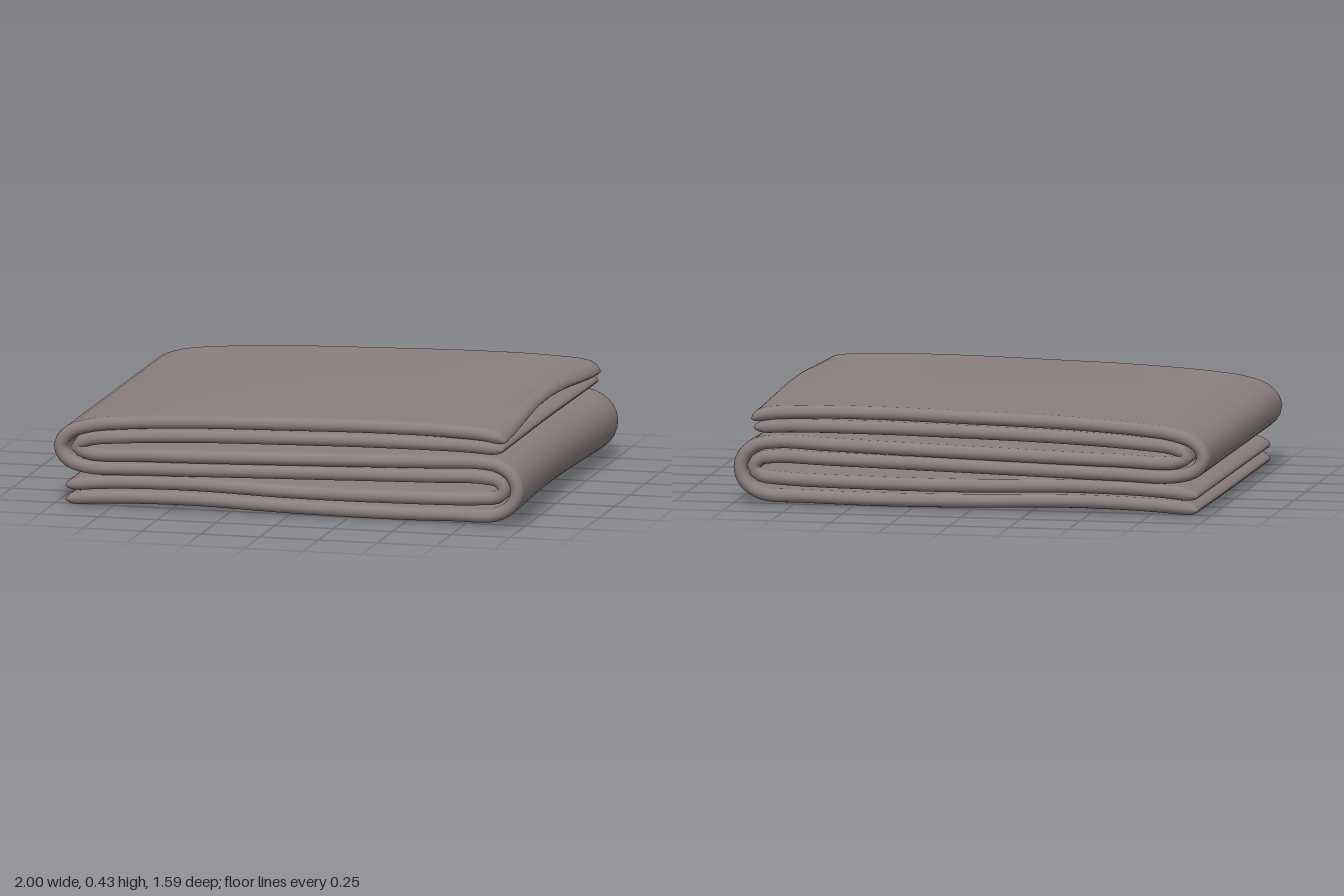
import * as THREE from 'three';

const HALF = 0.028;   // half the cloth thickness
const WIDTH = 0.797;  // half the width along z
const TAPER = 0.07;   // length over which the hems thin out
const smooth = THREE.MathUtils.smoothstep;
const bell = (x, c, w) => Math.exp(-(((x - c) / w) ** 2));

// Closed outline of the sheet's cross-section: [z side, inset factor, height]
function ringTemplate(across = 24, arc = 8) {
  const ring = [];
  for (const side of [1, -1]) {
    for (let k = 0; k <= arc; k++) {
      const a = -Math.PI / 2 + (Math.PI * k) / arc;
      ring.push({ f: side, c: Math.cos(a), n: side * Math.sin(a) });
    }
    for (let k = 1; k < across; k++) ring.push({ f: side * (1 - (2 * k) / across), c: 0, n: side });
  }
  return ring;
}

// Sweeps the section along a folded path; lift(u, x) bulges the middle of the sheet
function foldedSheet(points, lift) {
  const curve = new THREE.CatmullRomCurve3(points.map(([x, y]) => new THREE.Vector3(x, y, 0)));
  curve.arcLengthDivisions = 1500;
  const length = curve.getLength();
  const stops = [];
  for (let i = 0; i < 8; i++) stops.push(TAPER * (1 - Math.cos((Math.PI / 2) * (i / 8))));
  for (let i = 0; i <= 220; i++) stops.push(TAPER + ((length - 2 * TAPER) * i) / 220);
  for (let i = 7; i >= 0; i--) stops.push(length - stops[i]);

  const ring = ringTemplate();
  const pos = [], index = [];
  stops.forEach((s, i) => {
    const u = Math.min(1, Math.max(0, s / length));
    const p = curve.getPointAt(u), t = curve.getTangentAt(u);
    const d = Math.min(1, Math.min(s, length - s) / TAPER);
    const thin = Math.max(0.02, Math.sqrt(Math.max(0, 1 - (1 - d) ** 2)));
    const h = HALF * thin;
    const w = WIDTH - 0.025 * (1 - thin); // rounded corners
    ring.forEach(({ f, c, n }, j) => {
      const z = f * (w - HALF) + Math.sign(f) * c * HALF;
      const mid = (1 - Math.min(1, (z / 0.8) ** 2)) ** 2;
      const x = p.x - t.y * h * n;
      const y = p.y + t.x * h * n;
      pos.push(x - 0.022 * mid * smooth(x, 0.8, 0.95), y + mid * lift(u, p.x), z);
      if (i < stops.length - 1) {
        const k = (j + 1) % ring.length, a = i * ring.length, b = a + ring.length;
        index.push(a + j, b + j, a + k, a + k, b + j, b + k);
      }
    });
  });
  const geo = new THREE.BufferGeometry();
  geo.setAttribute('position', new THREE.Float32BufferAttribute(pos, 3));
  geo.setIndex(index);
  geo.computeVertexNormals();
  return geo;
}

export function createModel() {
  const group = new THREE.Group();
  group.name = 'foldedBlanket';
  const cloth = new THREE.MeshStandardMaterial({ color: 0x8c7e7e });
  cloth.name = 'taupe cloth';

  const add = (name, points, lift) => {
    const mesh = new THREE.Mesh(foldedSheet(points, lift), cloth);
    mesh.name = name;
    group.add(mesh);
  };

  // Layer on top: outside of the left fold, inside of the right fold
  add('upperLayer', [
    [0.925, 0.352], [0.87, 0.375], [0.7, 0.388], [0.4, 0.391], [0, 0.383], [-0.4, 0.372],
    [-0.7, 0.354], [-0.85, 0.335], [-0.935, 0.303], [-0.972, 0.25], [-0.945, 0.193], [-0.86, 0.163],
    [-0.6, 0.165], [0, 0.18], [0.6, 0.195], [0.82, 0.2], [0.895, 0.187], [0.917, 0.155],
    [0.89, 0.122], [0.8, 0.11], [0.4, 0.1], [0, 0.1], [-0.4, 0.11], [-0.7, 0.105],
    [-0.88, 0.092], [-0.95, 0.08],
  ], (u, x) => (u < 0.3 ? 0.025 * bell(x, -0.05, 0.35) + 0.04 * smooth(x, 0.8, 0.92) : 0));

  // Layer beneath: inside of the left fold, outside of the right fold
  add('lowerLayer', [
    [0.915, 0.318], [0.8, 0.328], [0.4, 0.33], [0, 0.323], [-0.4, 0.312], [-0.7, 0.295],
    [-0.85, 0.278], [-0.905, 0.25], [-0.86, 0.222], [-0.6, 0.222], [0, 0.237], [0.6, 0.255],
    [0.8, 0.262], [0.9, 0.248], [0.955, 0.205], [0.972, 0.15], [0.95, 0.09], [0.88, 0.046],
    [0.7, 0.038], [0.4, 0.033], [0, 0.037], [-0.4, 0.048], [-0.7, 0.043], [-0.88, 0.032],
    [-0.95, 0.022],
  ], (u, x) => {
    if (u < 0.3) return -0.01 * smooth(x, 0.7, 0.9);
    return u > 0.7 ? -0.018 * bell(x, -0.4, 0.35) : 0;
  });

  return group;
}
